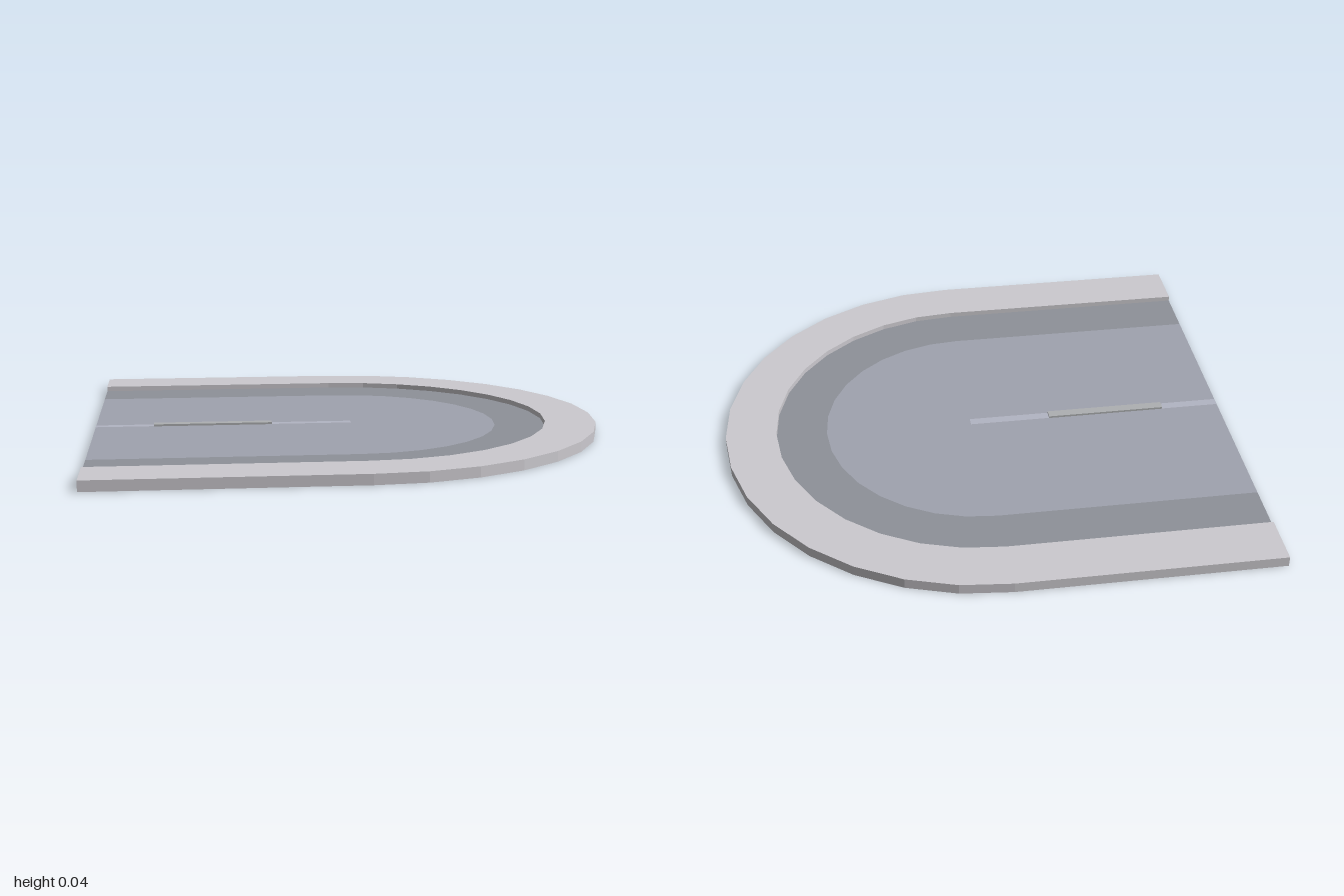
import * as THREE from 'three';

const SEGMENTS = 16; // facets of the half-round end

// Outline points of a strip that starts at x = -1 and ends in a half circle
function outline(r) {
  const pts = [new THREE.Vector2(-1, -r)];
  for (let i = 0; i <= SEGMENTS; i++) {
    const a = -Math.PI / 2 + (Math.PI * i) / SEGMENTS;
    pts.push(new THREE.Vector2(r * Math.cos(a), r * Math.sin(a)));
  }
  pts.push(new THREE.Vector2(-1, r));
  return pts;
}

// Solid when inner is 0, otherwise a U-shaped border
function roadShape(outer, inner = 0) {
  const pts = outline(outer);
  return new THREE.Shape(inner ? pts.concat(outline(inner).reverse()) : pts);
}

export function createModel() {
  const group = new THREE.Group();

  function add(name, geometry, color, y) {
    const material = new THREE.MeshStandardMaterial({ color, flatShading: true });
    const mesh = new THREE.Mesh(geometry, material);
    mesh.name = name;
    mesh.position.y = y;
    group.add(mesh);
    return mesh;
  }
  const slab = (shape, depth) =>
    new THREE.ExtrudeGeometry(shape, { depth, bevelEnabled: false }).rotateX(-Math.PI / 2);
  const flat = (shape) => new THREE.ShapeGeometry(shape).rotateX(-Math.PI / 2);

  // Base and raised pavement around the dead end
  add('base', slab(roadShape(1), 0.018), 0xcccacf, 0);
  add('pavement', slab(roadShape(1, 0.8), 0.022), 0xcccacf, 0.018);

  // Road surface: dark border and lighter middle
  add('roadBorder', flat(roadShape(0.8, 0.6)), 0x8e9199, 0.02);
  add('roadSurface', flat(roadShape(0.6)), 0xa0a3af, 0.02);

  // Centre line, with a slightly raised dash
  const line = add('centreLine', new THREE.PlaneGeometry(1.02, 0.036).rotateX(-Math.PI / 2), 0xb2b5c3, 0.021);
  line.position.x = -0.49;
  const dash = add('raisedDash', new THREE.BoxGeometry(0.47, 0.008, 0.036), 0xaeb0b2, 0.024);
  dash.position.x = -0.535;

  return group;
}
